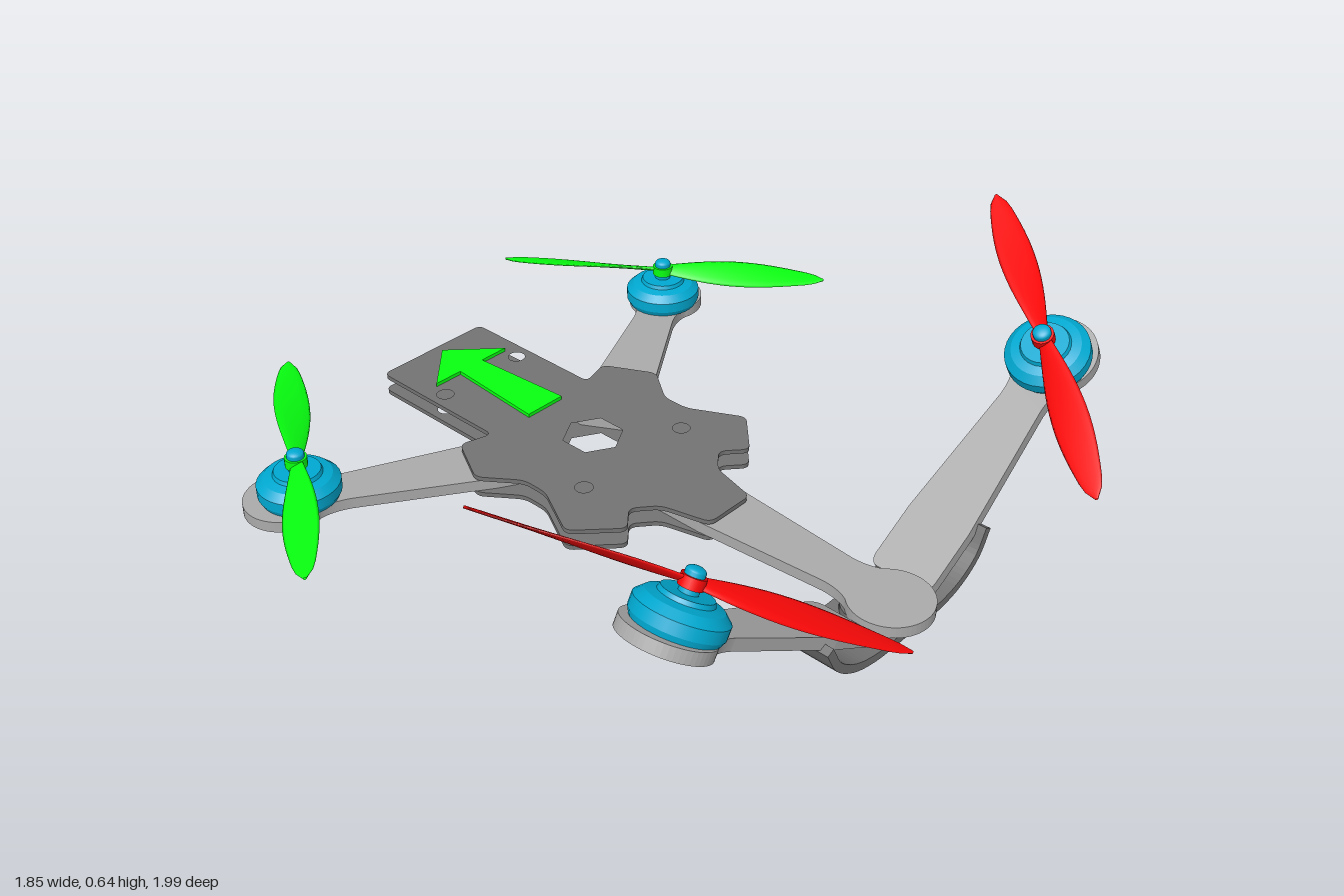
import * as THREE from 'three';

const mat = (color, side = THREE.FrontSide) => new THREE.MeshStandardMaterial({ color, side });
const armMat = mat(0xaaaaaa), plateMat = mat(0x737373), motorMat = mat(0x00a8d0);
const greenMat = mat(0x08ff10, THREE.DoubleSide), redMat = mat(0xfa0808, THREE.DoubleSide);

const CX = -0.004; // body centre line

function add(parent, name, geometry, material, x = 0, y = 0, z = 0) {
  const mesh = new THREE.Mesh(geometry, material);
  mesh.name = name;
  mesh.position.set(x, y, z);
  parent.add(mesh);
  return mesh;
}

// Outline drawn in (x, -z), lying flat and extruded upwards
function slab(shape, depth) {
  const g = new THREE.ExtrudeGeometry(shape, { depth, bevelEnabled: false, curveSegments: 20 });
  return g.rotateX(-Math.PI / 2);
}

// Closed polygon with rounded corners
function roundedPolygon(points, r) {
  const v = points.map(p => new THREE.Vector2(p[0], -p[1]));
  const shape = new THREE.Shape();
  v.forEach((p, i) => {
    const a = v[(i + v.length - 1) % v.length], b = v[(i + 1) % v.length];
    const toward = q => {
      const d = q.clone().sub(p);
      return p.clone().addScaledVector(d.clone().normalize(), Math.min(r, d.length() * 0.45));
    };
    const s = toward(a), e = toward(b);
    if (i === 0) shape.moveTo(s.x, s.y); else shape.lineTo(s.x, s.y);
    shape.quadraticCurveTo(p.x, p.y, e.x, e.y);
  });
  shape.closePath();
  return shape;
}

// Body plate with corner tabs, screw holes and a hexagonal opening
function plateGeometry() {
  const half = [[0.174, -0.875], [0.174, -0.445], [0.26, -0.47], [0.33, -0.335], [0.257, -0.235], [0.257, -0.16],
    [0.332, -0.015], [0.225, 0.088], [0.165, 0.035], [0.105, 0.085], [0.072, 0.217]];
  const mirrored = half.map(([x, z]) => [-x, z]).reverse();
  const shape = roundedPolygon([...half, ...mirrored], 0.022);
  for (const s of [-1, 1]) {
    for (const [x, z] of [[0.13, -0.675], [0.178, -0.105]]) {
      shape.holes.push(new THREE.Path().absarc(s * x, -z, 0.023, 0, Math.PI * 2, true));
    }
  }
  const hex = [];
  for (let i = 0; i < 6; i++) {
    const a = Math.PI / 2 - i * Math.PI / 3;
    hex.push(new THREE.Vector2(0.08 * Math.cos(a), 0.25 + 0.08 * Math.sin(a)));
  }
  shape.holes.push(new THREE.Path(hex));
  return slab(shape, 0.012);
}

// Arm along +x: broad root, slim waist, round motor pad
function armGeometry() {
  const shape = new THREE.Shape();
  const cx = 0.685, r = 0.105, a = 2.35;
  const px = cx + r * Math.cos(a), py = r * Math.sin(a);
  shape.moveTo(0, -0.06);
  shape.quadraticCurveTo(0, -0.084, 0.03, -0.085);
  shape.lineTo(0.17, -0.085);
  shape.lineTo(0.53, -0.057);
  shape.quadraticCurveTo(0.58, -0.056, px, -py);
  shape.absarc(cx, 0, r, -a, a, false);
  shape.quadraticCurveTo(0.58, 0.056, 0.53, 0.057);
  shape.lineTo(0.17, 0.085);
  shape.lineTo(0.03, 0.085);
  shape.quadraticCurveTo(0, 0.084, 0, 0.06);
  return slab(shape, 0.03);
}

// Twisted blade built from thin lens-shaped cross-sections
function bladeGeometry() {
  const rows = 18, ring = 12, pos = [], index = [];
  const chordAt = t => 0.026 + 0.068 * Math.pow(Math.sin(Math.PI * Math.min(1, t * 0.93 + 0.02)), 1.1);
  for (let i = 0; i <= rows; i++) {
    const t = i / rows;
    const chord = chordAt(t) * (t > 0.93 ? Math.sqrt(Math.max(0.04, (1 - t) / 0.07)) : 1);
    const pitch = 0.37 * t - 0.55;
    for (let j = 0; j < ring; j++) {
      const a = j / ring * Math.PI * 2;
      const w = chord / 2 * Math.cos(a), h = (0.006 - 0.003 * t) * Math.sin(a);
      pos.push(0.465 * t, h * Math.cos(pitch) + w * Math.sin(pitch), w * Math.cos(pitch) - h * Math.sin(pitch));
    }
  }
  for (let i = 0; i < rows; i++) {
    for (let j = 0; j < ring; j++) {
      const a = i * ring + j, b = i * ring + (j + 1) % ring;
      index.push(a, a + ring, b, b, a + ring, b + ring);
    }
  }
  const g = new THREE.BufferGeometry();
  g.setAttribute('position', new THREE.Float32BufferAttribute(pos, 3));
  g.setIndex(index);
  g.computeVertexNormals();
  return g;
}

// Motor bell, shaft nut and two-blade propeller
function motorUnit(material, blade, angle) {
  const unit = new THREE.Group();
  unit.name = 'motorUnit';
  const profile = [[0, 0], [0.097, 0], [0.104, 0.014], [0.104, 0.042], [0.085, 0.06], [0.062, 0.066], [0.058, 0.076], [0, 0.076]];
  // each band of the bell is lathed separately so its edges stay crisp
  for (let i = 0; i < profile.length - 1; i++) {
    const band = profile.slice(i, i + 2).map(p => new THREE.Vector2(...p));
    add(unit, 'motorBell', new THREE.LatheGeometry(band, 32), motorMat);
  }
  add(unit, 'motorShaft', new THREE.CylinderGeometry(0.022, 0.022, 0.045, 20), motorMat, 0, 0.0985);
  add(unit, 'shaftNut', new THREE.SphereGeometry(0.022, 20, 8, 0, Math.PI * 2, 0, Math.PI / 2), motorMat, 0, 0.121).scale.y = 0.5;
  const propeller = new THREE.Group();
  propeller.name = 'propeller';
  propeller.position.y = 0.1;
  propeller.rotation.y = angle;
  add(propeller, 'propellerHub', new THREE.CylinderGeometry(0.028, 0.028, 0.025, 20), material);
  for (const turn of [0, Math.PI]) add(propeller, 'blade', blade, material).rotation.y = turn;
  unit.add(propeller);
  return unit;
}

// Curved cradle that carries the raised arms
function cradleGeometry() {
  const t = 0.022;
  const path = new THREE.CatmullRomCurve3([[-0.297, 0.138], [-0.262, 0.075], [-0.2, 0.032], [-0.12, 0.012], [0, 0.011],
    [0.12, 0.012], [0.2, 0.032], [0.262, 0.075], [0.297, 0.138]].map(p => new THREE.Vector3(...p, 0)));
  const lower = [], upper = [];
  for (let i = 0; i <= 40; i++) {
    const p = path.getPoint(i / 40), d = path.getTangent(i / 40);
    lower.push(new THREE.Vector2(p.x + d.y * t / 2, p.y - d.x * t / 2));
    upper.push(new THREE.Vector2(p.x - d.y * t / 2, p.y + d.x * t / 2));
  }
  return new THREE.ExtrudeGeometry(new THREE.Shape([...lower, ...upper.reverse()]), { depth: 0.19, bevelEnabled: false });
}

export function createModel() {
  const model = new THREE.Group();
  model.name = 'drone';

  // Body plates
  const plate = plateGeometry();
  add(model, 'lowerPlate', plate, plateMat, CX, 0.026, 0);
  add(model, 'upperPlate', plate, plateMat, CX, 0.073, 0);

  // Direction arrow
  const half = [[0.06, -0.43], [0.04, -0.72], [0.125, -0.72], [0, -0.84]];
  const outline = [...half, ...half.slice(0, 3).map(([x, z]) => [-x, z]).reverse()];
  const arrow = new THREE.Shape(outline.map(([x, z]) => new THREE.Vector2(x, -z)));
  add(model, 'directionArrow', slab(arrow, 0.01), greenMat, CX + 0.004, 0.085, 0);

  // Arms
  const arm = armGeometry(), blade = bladeGeometry();
  const placeArm = (name, x, y, z, yaw, tilt) => {
    const group = new THREE.Group();
    group.name = name;
    group.position.set(CX + x, y, z);
    group.rotation.set(0, yaw, tilt);
    add(group, 'arm', arm, armMat);
    model.add(group);
    return group;
  };
  placeArm('frontArm', 0.008, 0.04, 0.008, -Math.PI / 2, 0);
  const sweep = THREE.MathUtils.degToRad(29.3), rise = Math.PI / 6;
  for (const s of [1, -1]) {
    const side = s > 0 ? 'left' : 'right';
    const rear = placeArm(side + 'RearArm', s * 0.092, 0.04, -0.296, s > 0 ? sweep : Math.PI - sweep, 0);
    const raised = placeArm(side + 'RaisedArm', s * 0.113, 0.026, 0.65, s > 0 ? 0 : Math.PI, rise);
    for (const [group, material, reach, angle] of [[rear, greenMat, 0.648, -1.475], [raised, redMat, 0.665, 0.81]]) {
      const unit = motorUnit(material, blade, s * angle);
      unit.position.set(reach, 0.03, 0);
      group.add(unit);
    }
  }

  // Cradle and the spacer under the front arm
  add(model, 'cradle', cradleGeometry(), plateMat, CX, 0, 0.565);
  add(model, 'cradleSpacer', new THREE.CylinderGeometry(0.085, 0.085, 0.022, 32), plateMat, CX, 0.03, 0.66);

  return model;
}
